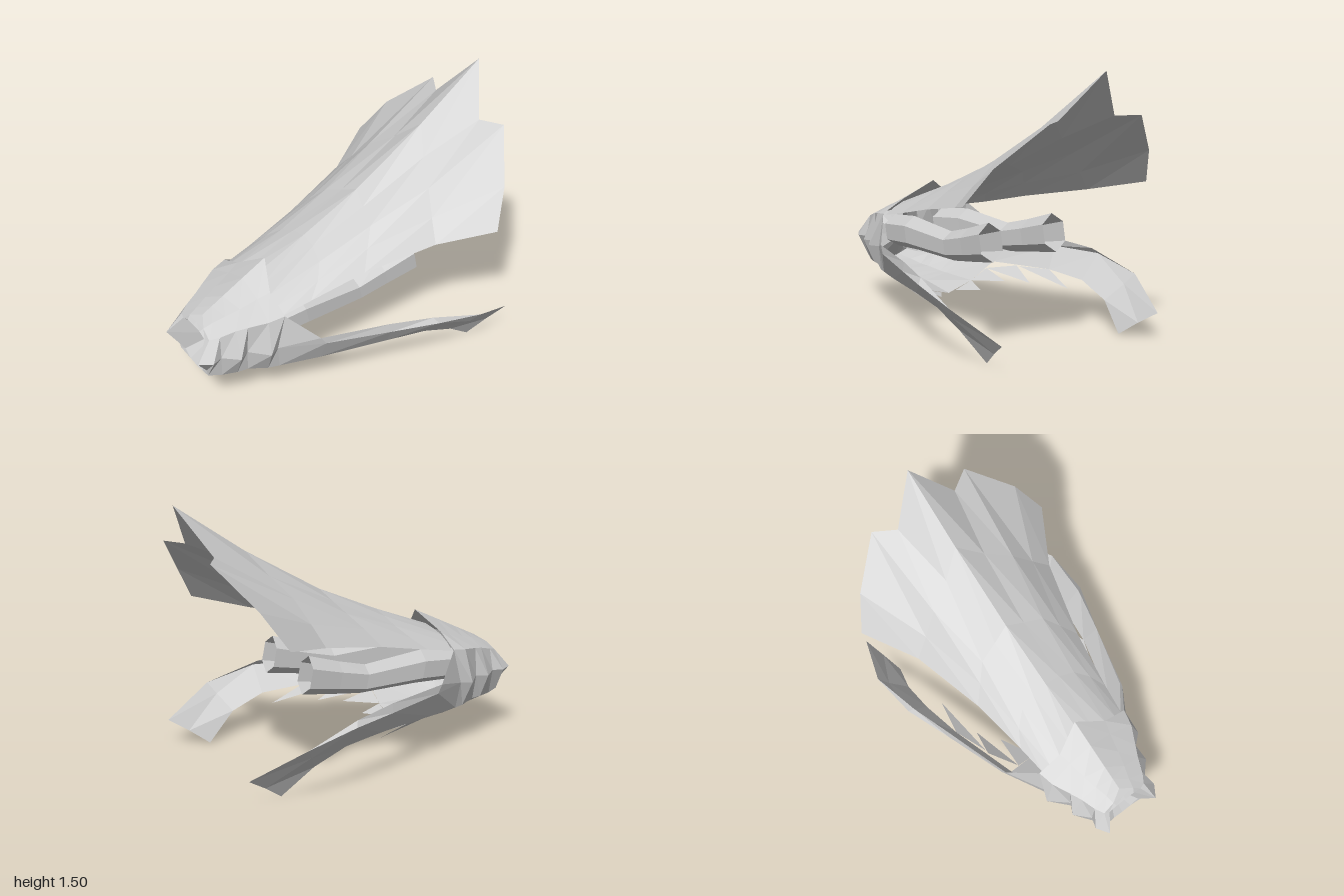
import * as THREE from 'three';

const material = new THREE.MeshStandardMaterial({ color: 0xcccccc, flatShading: true, side: THREE.DoubleSide });

// Surface through rows of [x, y, z] points; side = -1 mirrors it across x = 0.
function skin(name, rows, side = 1) {
  const pos = [];
  const tri = (a, b, c) => {
    if (a === b || b === c || a === c) return;
    for (const p of side > 0 ? [a, b, c] : [a, c, b]) pos.push(p[0] * side, p[1], p[2]);
  };
  for (let r = 0; r < rows.length - 1; r++) {
    for (let c = 0; c < rows[r].length - 1; c++) {
      const a = rows[r][c], b = rows[r][c + 1], d = rows[r + 1][c], e = rows[r + 1][c + 1];
      tri(a, b, d);
      tri(b, e, d);
    }
  }
  const geo = new THREE.BufferGeometry();
  geo.setAttribute('position', new THREE.Float32BufferAttribute(pos, 3));
  geo.computeVertexNormals();
  const mesh = new THREE.Mesh(geo, material);
  mesh.name = name;
  return mesh;
}

// Head half-sections from the mouth ring back, top centre to bottom centre; the sides zigzag as ribs.
const head = [
  [[0, .515, .92], [.06, .513, .92], [.11, .49, .92], [.165, .39, 1], [.11, .27, .92], [.06, .235, .92], [0, .23, .92]],
  [[0, .53, .9], [.07, .53, .9], [.14, .5, .91], [.21, .39, .93], [.14, .26, .93], [.08, .235, .9], [0, .22, .88]],
  [[0, .56, .86], [.08, .55, .85], [.17, .515, .86], [.19, .39, .87], [.17, .25, .86], [.1, .22, .83], [0, .205, .8]],
  [[0, .59, .8], [.1, .575, .78], [.2, .54, .78], [.265, .39, .79], [.2, .25, .78], [.12, .2, .75], [0, .19, .73]],
  [[0, .625, .73], [.12, .6, .7], [.23, .555, .72], [.23, .39, .73], [.21, .25, .72], [.13, .195, .69], [0, .18, .67]],
  [[0, .69, .6], [.14, .635, .6], [.28, .575, .62], [.33, .39, .64], [.26, .24, .62], [.15, .18, .6], [0, .165, .6]],
  [[0, .762, .455], [.16, .66, .53], [.3, .59, .53], [.3, .39, .58], [.28, .24, .56], [.16, .175, .55], [0, .155, .53]],
];

// Crest fan, centre ridge to outer edge, ending in a jagged rim.
const crest = [
  [[0, .67, .53], [.08, .66, .53], [.16, .645, .53], [.23, .615, .53], [.28, .58, .53]],
  [[0, .8, .2], [.09, .78, .2], [.18, .74, .22], [.25, .68, .28], [.3, .615, .36]],
  [[0, .96, -.16], [.1, .91, -.13], [.21, .86, -.1], [.28, .78, -.03], [.35, .69, .04]],
  [[0, 1.22, -.6], [.13, 1.1, -.52], [.27, 1, -.45], [.37, .88, -.4], [.46, .77, -.36]],
  [[0, 1.5, -1], [.19, 1.25, -.86], [.31, 1.25, -.935], [.53, 1.03, -.77], [.63, .835, -.65]],
];

// Cheek running into a curved mandible blade: upper edge, outer bulge, lower edge.
const mandible = [
  [[.3, .59, .53], [.3, .39, .58], [.28, .24, .56]],
  [[.42, .445, .38], [.43, .4, .35], [.36, .25, .35]],
  [[.53, .43, 0], [.54, .38, 0], [.47, .255, -.03]],
  [[.6, .4, -.25], [.63, .37, -.27], [.51, .23, -.27]],
  [[.645, .3, -.56], [.6, .24, -.52], [.51, .15, -.46]],
  [[.54, .15, -.85], [.5, .08, -.74], [.46, 0, -.63]],
];

const jawFloor = [
  [[.28, .24, .56], [.16, .175, .55], [0, .155, .53]],
  [[.36, .25, .35], [.18, .165, .33], [0, .12, .31]],
];

// Backward-pointing teeth: two base corners and a tip.
const teeth = [
  [[.4, .25, .16], [.47, .255, -.03], [.42, .19, -.25]],
  [[.3, .22, .34], [.4, .25, .18], [.365, .18, .02]],
  [[.18, .165, .33], [.3, .22, .34], [.28, .18, .14]],
  [[.05, .13, .31], [.18, .165, .33], [.14, .14, .19]],
];

// Six-sided pipe: centre x, y, z, radius across, radius up.
const pipe = [
  [.17, .47, .58, .09, .09],
  [.19, .49, .36, .09, .095],
  [.2, .475, 0, .075, .08],
  [.21, .51, -.17, .075, .09],
  [.22, .555, -.36, .085, .105],
].map(([x, y, z, rx, ry]) => Array.from({ length: 7 }, (_, i) => {
  const a = (i % 6) * Math.PI / 3, up = Math.cos(a) * ry;
  return [x + Math.sin(a) * rx, y + up, z + up * .2];
}));

export function createModel() {
  const model = new THREE.Group();
  const apex = [0, .39, .78];
  const funnel = [head[0].map(() => apex), head[0]];
  for (const side of [1, -1]) {
    const half = new THREE.Group();
    half.name = side > 0 ? 'leftHalf' : 'rightHalf';
    half.add(
      skin('head', head, side),
      skin('mouthFunnel', funnel, side),
      skin('crest', crest, side),
      skin('mandible', mandible, side),
      skin('jawFloor', jawFloor, side),
      skin('pipe', pipe, side),
    );
    for (const [a, b, tip] of teeth) half.add(skin('tooth', [[b, a], [tip, tip]], side));
    model.add(half);
  }
  return model;
}
